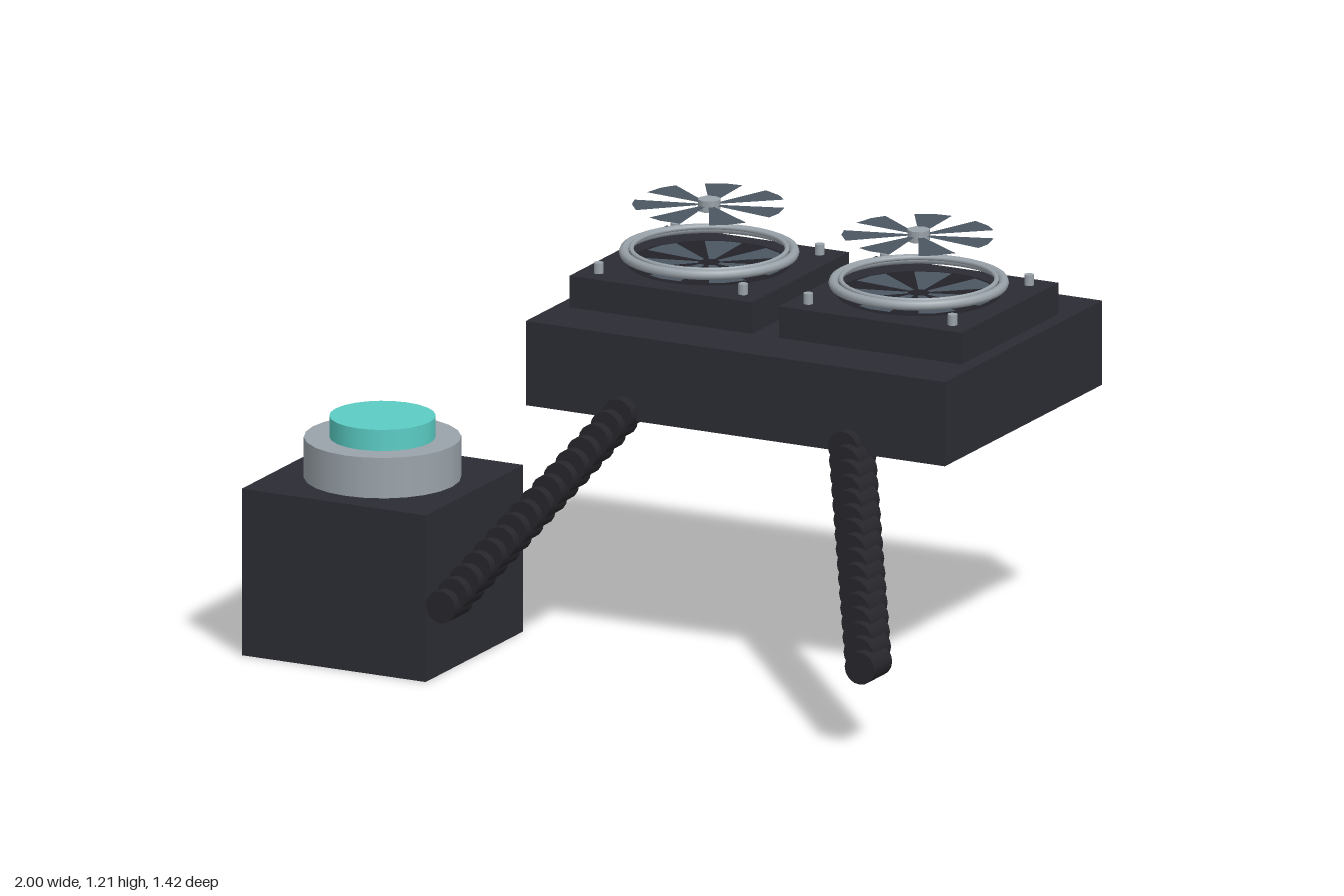
import * as THREE from 'three';

export function createModel() {
  const model = new THREE.Group();
  model.name = 'liquidCooler';

  const mat = (name, color, side = THREE.FrontSide) => {
    const m = new THREE.MeshStandardMaterial({ color, side });
    m.name = name;
    return m;
  };
  const casing = mat('charcoalCasing', 0x2c2c35);
  const rubber = mat('blackRubber', 0x27262b);
  const recess = mat('darkRecess', 0x222228);
  const steel = mat('greySteel', 0x9aa3aa);
  const slate = mat('slateBlade', 0x4a5661, THREE.DoubleSide);
  const teal = mat('tealLight', 0x5accc4);

  const add = (parent, name, geometry, material, x, y, z) => {
    const mesh = new THREE.Mesh(geometry, material);
    mesh.name = name;
    mesh.position.set(x, y, z);
    parent.add(mesh);
    return mesh;
  };

  // Radiator body
  add(model, 'radiator', new THREE.BoxGeometry(1.3, 0.24, 0.92), casing, 0.3, 0.81, -0.25);

  // Pump block with a steel collar and a glowing cap
  const pump = new THREE.Group();
  pump.name = 'pump';
  pump.position.set(-0.715, 0, 0.36);
  model.add(pump);
  add(pump, 'pumpBlock', new THREE.BoxGeometry(0.57, 0.475, 0.57), casing, 0, 0.2375, 0);
  add(pump, 'pumpCollar', new THREE.CylinderGeometry(0.216, 0.216, 0.115, 24), steel, 0, 0.5325, 0);
  add(pump, 'pumpCap', new THREE.CylinderGeometry(0.146, 0.146, 0.06, 24), teal, 0, 0.62, 0);

  // One flat, swept fan blade lying in the horizontal plane
  const outline = new THREE.Shape();
  outline.moveTo(0.03, -0.008);
  outline.lineTo(0.205, -0.045);
  outline.lineTo(0.212, 0);
  outline.lineTo(0.2, 0.06);
  outline.lineTo(0.03, 0.008);
  const bladeGeometry = new THREE.ShapeGeometry(outline).rotateX(-Math.PI / 2);
  const BLADES = 7;

  const addBlades = (parent, name, y) => {
    for (let i = 0; i < BLADES; i++) {
      const blade = add(parent, name, bladeGeometry, slate, 0, y, 0);
      blade.rotation.y = 0.03 + (i * Math.PI * 2) / BLADES;
    }
  };

  const ring = (radius, tube) => new THREE.TorusGeometry(radius, tube, 8, 40).rotateX(Math.PI / 2);

  // Two fans
  for (const x of [-0.025, 0.625]) {
    const fan = new THREE.Group();
    fan.name = 'fan';
    fan.position.set(x, 0, -0.25);
    model.add(fan);
    add(fan, 'fanFrame', new THREE.BoxGeometry(0.566, 0.09, 0.566), casing, 0, 0.975, 0);
    add(fan, 'fanRecess', new THREE.CircleGeometry(0.225, 40).rotateX(-Math.PI / 2), recess, 0, 1.0225, 0);
    add(fan, 'outerGuardRing', ring(0.234, 0.014), steel, 0, 1.055, 0);
    add(fan, 'innerGuardRing', ring(0.214, 0.007), steel, 0, 1.064, 0);
    addBlades(fan, 'lowerBlade', 1.0255);
    addBlades(fan, 'upperBlade', 1.19);
    add(fan, 'fanHub', new THREE.CylinderGeometry(0.032, 0.032, 0.032, 8), steel, 0, 1.19, 0);
    for (const sx of [-1, 1]) for (const sz of [-1, 1]) {
      add(fan, 'cornerScrew', new THREE.CylinderGeometry(0.014, 0.014, 0.03, 8), steel, sx * 0.224, 1.036, sz * 0.224);
    }
  }

  // Ribbed hoses: overlapping discs stepping forward, down and outward
  const rib = new THREE.CylinderGeometry(0.046, 0.046, 0.105, 16).rotateX(Math.PI / 2);
  const STEPS = 15;
  for (const side of [-1, 1]) {
    const hose = new THREE.Group();
    hose.name = side < 0 ? 'rightHose' : 'leftHose';
    model.add(hose);
    for (let i = 0; i <= STEPS; i++) {
      const t = i / STEPS;
      add(hose, 'hoseRib', rib, rubber, 0.3 + side * (0.35 + 0.3 * t), 0.71 - 0.47 * t, 0.19 + 0.467 * t);
    }
  }

  return model;
}
